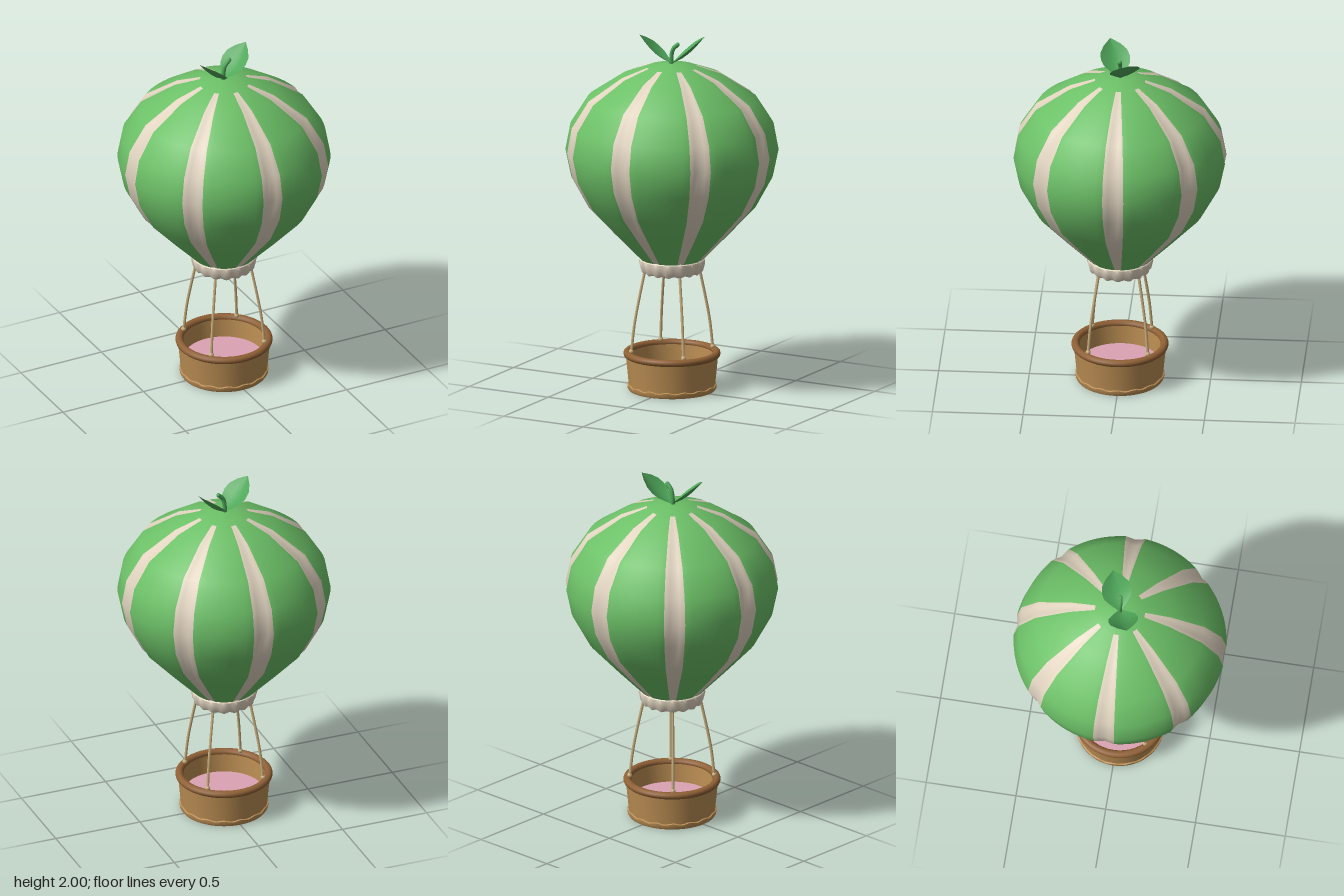
import * as THREE from 'three';
import { toCreasedNormals } from 'three/addons/utils/BufferGeometryUtils.js';

const mat = (name, color, side = THREE.FrontSide) => {
  const m = new THREE.MeshStandardMaterial({ color, side });
  m.name = name;
  return m;
};

export function createModel() {
  const model = new THREE.Group();
  model.name = 'hotAirBalloon';

  const green = mat('balloonGreen', 0x6cc067);
  const cream = mat('cream', 0xe0d3bf);
  const leafGreen = mat('leafGreen', 0x4fa85a, THREE.DoubleSide);
  const wicker = mat('wicker', 0xb98c52);
  const rimBrown = mat('rimBrown', 0x8f6035);
  const ropeTan = mat('ropeTan', 0xc9b07e);
  const pink = mat('floorPink', 0xdba2b2);
  const dark = mat('burnerDark', 0x3a3d48);
  const black = mat('burnerHole', 0x20222c);

  const add = (name, geometry, material, parent = model) => {
    const mesh = new THREE.Mesh(geometry, material);
    mesh.name = name;
    parent.add(mesh);
    return mesh;
  };
  const lathe = (pts, segments = 48, crease = 0.6) => toCreasedNormals(
    new THREE.LatheGeometry(pts.map(p => new THREE.Vector2(...p)), segments), crease);
  // Move every vertex by a rule of its position and angle
  const deform = (geo, rule) => {
    const pos = geo.attributes.position, v = new THREE.Vector3();
    for (let i = 0; i < pos.count; i++) {
      v.fromBufferAttribute(pos, i);
      rule(v, Math.atan2(v.x, v.z));
      pos.setXYZ(i, v.x, v.y, v.z);
    }
    return geo;
  };

  // Envelope: eight puffed gores, with a grooved cream stripe between each pair
  const profile = [[0, 1.845], [0.07, 1.84], [0.138, 1.826], [0.28, 1.773], [0.466, 1.648], [0.56, 1.5],
    [0.586, 1.36], [0.556, 1.215], [0.466, 1.05], [0.32, 0.893], [0.172, 0.74]];
  const half = 0.1, sector = Math.PI / 4, panelSteps = 8;
  const offsets = [-half, -half / 2, 0, half / 2];
  for (let k = 0; k < panelSteps; k++) offsets.push(half + (sector - 2 * half) * k / panelSteps);
  const per = offsets.length, count = per * 8;
  const positions = [], gores = [], stripes = [];
  profile.forEach(([r, y], j) => {
    for (let i = 0; i < count; i++) {
      const off = offsets[i % per], a = Math.floor(i / per) * sector + off;
      const groove = j > 2 && Math.abs(off) < half ? 0.013 * (1 + Math.cos(Math.PI * off / half)) : 0;
      const rr = r * (1 - groove);
      positions.push(rr * Math.sin(a), y, rr * Math.cos(a));
      if (j === profile.length - 1) continue;
      const n = (i + 1) % count, p = j * count, q = p + count;
      const target = j >= 2 && i % per < 4 ? stripes : gores;
      if (j > 0) target.push(p + i, q + i, p + n);
      target.push(p + n, q + i, q + n);
    }
  });
  const envelope = new THREE.BufferGeometry();
  envelope.setAttribute('position', new THREE.Float32BufferAttribute(positions, 3));
  envelope.setIndex([...gores, ...stripes]);
  envelope.addGroup(0, gores.length, 0);
  envelope.addGroup(gores.length, stripes.length, 1);
  envelope.computeVertexNormals();
  add('envelope', envelope, [green, cream]);

  // Scalloped skirt closing the envelope
  const skirt = deform(new THREE.LatheGeometry(
    [[0, 0.672], [0.14, 0.668], [0.16, 0.667], [0.17, 0.68], [0.181, 0.72], [0.18, 0.738], [0.17, 0.747], [0.13, 0.747]]
      .map(p => new THREE.Vector2(...p)), 96), (v, a) => {
    const r = Math.hypot(v.x, v.z);
    if (r < 0.15 || v.y > 0.73) return;
    const s = Math.cos(16 * a);
    v.x *= 1 + 0.015 * s;
    v.z *= 1 + 0.015 * s;
    if (v.y < 0.7) v.y -= 0.004 * s;
  });
  add('skirt', toCreasedNormals(skirt, 0.7), cream);

  // Burner under the skirt
  add('burner', lathe([[0.04, 0.665], [0.04, 0.65], [0.05, 0.646], [0.06, 0.648], [0.066, 0.656], [0.066, 0.675]], 32), dark);
  const hole = add('burnerHole', new THREE.CircleGeometry(0.045, 32), black);
  hole.rotation.x = Math.PI / 2;
  hole.position.y = 0.658;

  // Stem and two cupped leaves on the crown
  const stemPath = new THREE.CatmullRomCurve3([[-0.005, 1.83, 0], [-0.004, 1.88, 0], [0.006, 1.925, 0], [0.034, 1.955, -0.002]]
    .map(p => new THREE.Vector3(...p)));
  add('stem', new THREE.TubeGeometry(stemPath, 12, 0.012, 8), leafGreen);
  const stemTip = add('stemTip', new THREE.SphereGeometry(0.012, 8, 6), leafGreen);
  stemTip.position.set(0.034, 1.955, -0.002);

  const widths = [0.008, 0.045, 0.075, 0.084, 0.077, 0.048, 0.002];
  const makeLeaf = () => {
    const geo = new THREE.PlaneGeometry(2, 1, 6, widths.length - 1);
    deform(geo, v => {
      const t = v.y + 0.5, s = v.x, w = widths[Math.round(t * (widths.length - 1))];
      const length = 0.18 * t;
      const cup = 0.3 * w * Math.abs(s) ** 1.5;
      v.set(length - 0.2 * cup, 1.845 + 0.155 * t - 0.022 * Math.sin(Math.PI * t) + cup, s * w);
    });
    geo.computeVertexNormals();
    return geo;
  };
  [0, Math.PI].forEach((turn, i) => {
    const leaf = add(i ? 'rightLeaf' : 'leftLeaf', makeLeaf(), leafGreen);
    leaf.rotation.y = turn + 0.37;
  });

  // Four bowed ropes with knots on the rim
  for (let i = 0; i < 4; i++) {
    const rope = new THREE.Group();
    rope.name = 'rope' + (i + 1);
    const path = new THREE.CatmullRomCurve3([[0.153, 0.69], [0.187, 0.53], [0.215, 0.38], [0.233, 0.22]]
      .map(([r, y]) => new THREE.Vector3(r, y, 0)));
    add('ropeLine', new THREE.TubeGeometry(path, 16, 0.008, 8), ropeTan, rope);
    add('ropeKnot', new THREE.SphereGeometry(0.014, 12, 8), ropeTan, rope).position.set(0.233, 0.227, 0);
    rope.rotation.y = Math.PI / 4 + i * Math.PI / 2;
    model.add(rope);
  }

  // Basket: hollow tub, rolled rim, wavy foot band and padded floor
  add('basketWall', lathe([[0, 0.006], [0.236, 0.006], [0.241, 0.06], [0.255, 0.2], [0.226, 0.2], [0.215, 0.06], [0, 0.06]]), wicker);
  const rim = add('basketRim', new THREE.TorusGeometry(0.246, 0.022, 12, 48), rimBrown);
  rim.rotation.x = Math.PI / 2;
  rim.scale.z = 0.9;
  rim.position.y = 0.204;
  const foot = deform(new THREE.LatheGeometry(
    [[0.222, 0.006], [0.226, 0], [0.238, 0], [0.244, 0.01], [0.245, 0.028], [0.234, 0.034]]
      .map(p => new THREE.Vector2(...p)), 96), (v, a) => {
    if (v.y > 0.02) v.y += 0.004 * Math.cos(16 * a);
  });
  add('basketFoot', toCreasedNormals(foot, 0.7), wicker);
  const floor = add('basketFloor', new THREE.CylinderGeometry(0.219, 0.217, 0.03, 48), pink);
  floor.position.y = 0.08;

  return model;
}
